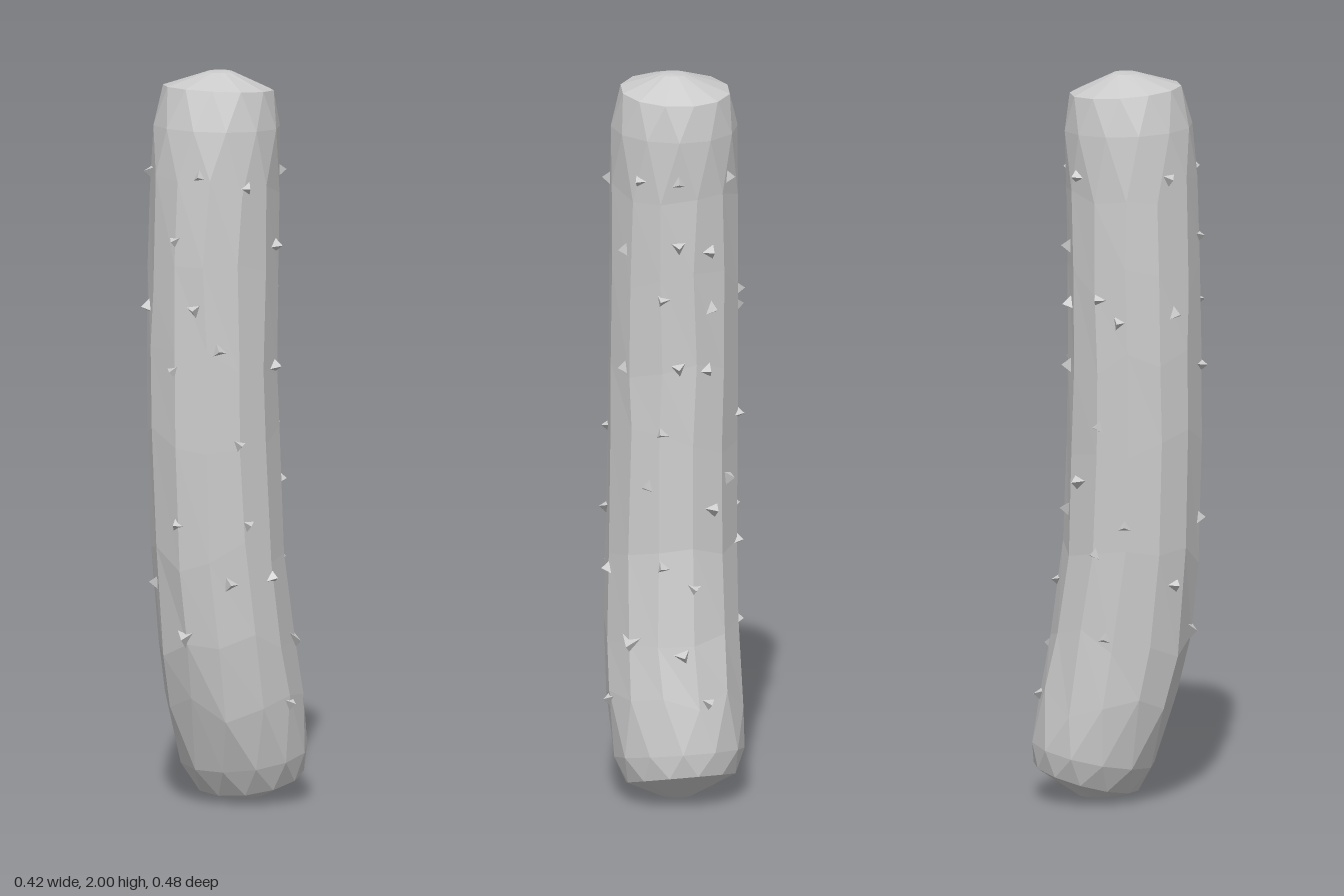
import * as THREE from 'three';

const SIDES = 12;

// Body rings from bottom to top: y, centre x, centre z, radius x, radius z, tilt (dy/dz), twist in half steps
const RINGS = [
  [0.008, 0.01, -0.06, 0.05, 0.05, 0, 0],
  [0.058, 0.008, -0.09, 0.152, 0.142, -0.26, 0],
  [0.125, 0.005, -0.07, 0.178, 0.167, -0.2, 1],
  [0.28, 0.003, -0.028, 0.188, 0.188, -0.1, 0],
  [0.45, 0.002, 0.005, 0.183, 0.191, -0.08, 0],
  [0.7, -0.008, 0.033, 0.179, 0.184, -0.04, 0],
  [1.0, -0.015, 0.043, 0.177, 0.184, 0, 0],
  [1.22, -0.018, 0.045, 0.177, 0.181, 0, 0],
  [1.45, -0.018, 0.042, 0.177, 0.18, 0, 0],
  [1.68, -0.016, 0.037, 0.176, 0.178, 0.02, 0],
  [1.85, -0.015, 0.028, 0.172, 0.175, 0.04, 1],
  [1.953, -0.015, 0.02, 0.15, 0.152, 0.08, 0],
  [1.997, -0.01, 0.02, 0.035, 0.035, 0, 0],
];

// Point of a ring; the angle runs from the front (+z) towards +x
function ringPoint([y, cx, cz, rx, rz, tilt], a) {
  const z = rz * Math.cos(a);
  return new THREE.Vector3(cx + rx * Math.sin(a), y + tilt * z, cz + z);
}

// Point on the skin at a given height and angle
function skinPoint(y, a) {
  let i = 1;
  while (i < RINGS.length - 2 && RINGS[i + 1][0] < y) i++;
  const lo = RINGS[i], hi = RINGS[i + 1];
  const t = (y - lo[0]) / (hi[0] - lo[0]);
  const ring = lo.map((v, k) => v + (hi[k] - v) * t);
  ring[5] = 0;
  return ringPoint(ring, a);
}

// Closed faceted skin lofted through the rings
function loft() {
  const pos = [], index = [];
  let seed = 7;
  const rand = () => (seed = (seed * 16807) % 2147483647) / 2147483647 - 0.5;
  RINGS.forEach((ring, r) => {
    const middle = r > 2 && r < RINGS.length - 3;
    for (let s = 0; s < SIDES; s++) {
      const p = ringPoint(ring, ((s + ring[6] / 2) / SIDES) * Math.PI * 2 + (middle ? rand() * 0.08 : 0));
      pos.push(p.x, p.y + (middle ? rand() * 0.09 : 0), p.z);
    }
  });
  for (let r = 0; r < RINGS.length - 1; r++) {
    const shift = RINGS[r][6] > RINGS[r + 1][6];
    for (let s = 0; s < SIDES; s++) {
      const n = (s + 1) % SIDES;
      const a = r * SIDES + s, b = r * SIDES + n, c = a + SIDES, d = b + SIDES;
      if (shift) index.push(a, b, d, a, d, c);
      else index.push(a, b, c, b, d, c);
    }
  }
  // end caps
  const top = pos.length / 3, last = (RINGS.length - 1) * SIDES;
  pos.push(0, 2, 0.01, 0.01, 0, -0.06);
  for (let s = 0; s < SIDES; s++) {
    const n = (s + 1) % SIDES;
    index.push(last + s, last + n, top, n, s, top + 1);
  }
  const g = new THREE.BufferGeometry();
  g.setAttribute('position', new THREE.Float32BufferAttribute(pos, 3));
  g.setIndex(index);
  const flat = g.toNonIndexed();
  flat.computeVertexNormals();
  return flat;
}

// Small spines: angle in degrees, height
const SPINES = [
  [-48, 1.73], [22, 1.735], [0, 1.555], [-45, 1.36], [20, 1.37], [42, 1.26], [0, 1.2],
  [0, 0.78], [-40, 0.61], [45, 0.62], [66, 1.7], [128, 1.73], [110, 1.53], [150, 1.4],
  [110, 1.2], [60, 1.0], [138, 0.88], [65, 0.78], [88, 0.63], [90, 0.28],
  [165, 1.73], [165, 1.55], [198, 1.37], [165, 1.21], [150, 1.03], [200, 0.81], [152, 0.66],
  [170, 0.42], [220, 1.73], [195, 1.53], [243, 1.4], [192, 1.2], [262, 1.34],
  [243, 1.05], [220, 0.89], [243, 0.7], [180, 0.6], [262, 0.47], [190, 0.29], [270, 0.78],
];

export function createModel() {
  const group = new THREE.Group();
  const skin = new THREE.MeshStandardMaterial({ color: 0xcccccc });
  skin.name = 'pale grey skin';

  const body = new THREE.Mesh(loft(), skin);
  body.name = 'body';
  group.add(body);

  // Cone lying on the skin and pointing outwards
  const addCone = (name, geometry, deg, y) => {
    const a = THREE.MathUtils.degToRad(deg);
    const mesh = new THREE.Mesh(geometry, skin);
    mesh.name = name;
    mesh.position.copy(skinPoint(y, a));
    mesh.rotation.y = a;
    group.add(mesh);
    return mesh;
  };

  const facet = (g) => {
    const flat = g.toNonIndexed();
    flat.computeVertexNormals();
    return flat;
  };
  const spine = facet(new THREE.ConeGeometry(0.033, 0.036, 3).rotateX(Math.PI / 2));
  const spines = new THREE.Group();
  spines.name = 'spines';
  group.add(spines);
  SPINES.forEach(([deg, y], i) => {
    const mesh = addCone('spine', spine, deg, y);
    mesh.rotation.order = 'YXZ';
    mesh.rotation.z = i * 1.1;
    spines.add(mesh);
  });

  // Long folds that swell towards the lower end
  const foldGeometry = (length) => {
    const g = new THREE.ConeGeometry(0.05, 0.04, 3).rotateX(Math.PI / 2);
    const p = g.attributes.position;
    for (let i = 0; i < p.count; i++) {
      if (p.getZ(i) > 0) p.setXYZ(i, 0, -0.01, 0.016);
      else if (p.getY(i) > 0.03) p.setXYZ(i, 0, length, -0.012);
    }
    return facet(g);
  };
  addCone('frontFold', foldGeometry(0.16), 0, 0.475);
  addCone('backFold', foldGeometry(0.3), 122, 0.45);

  return group;
}
